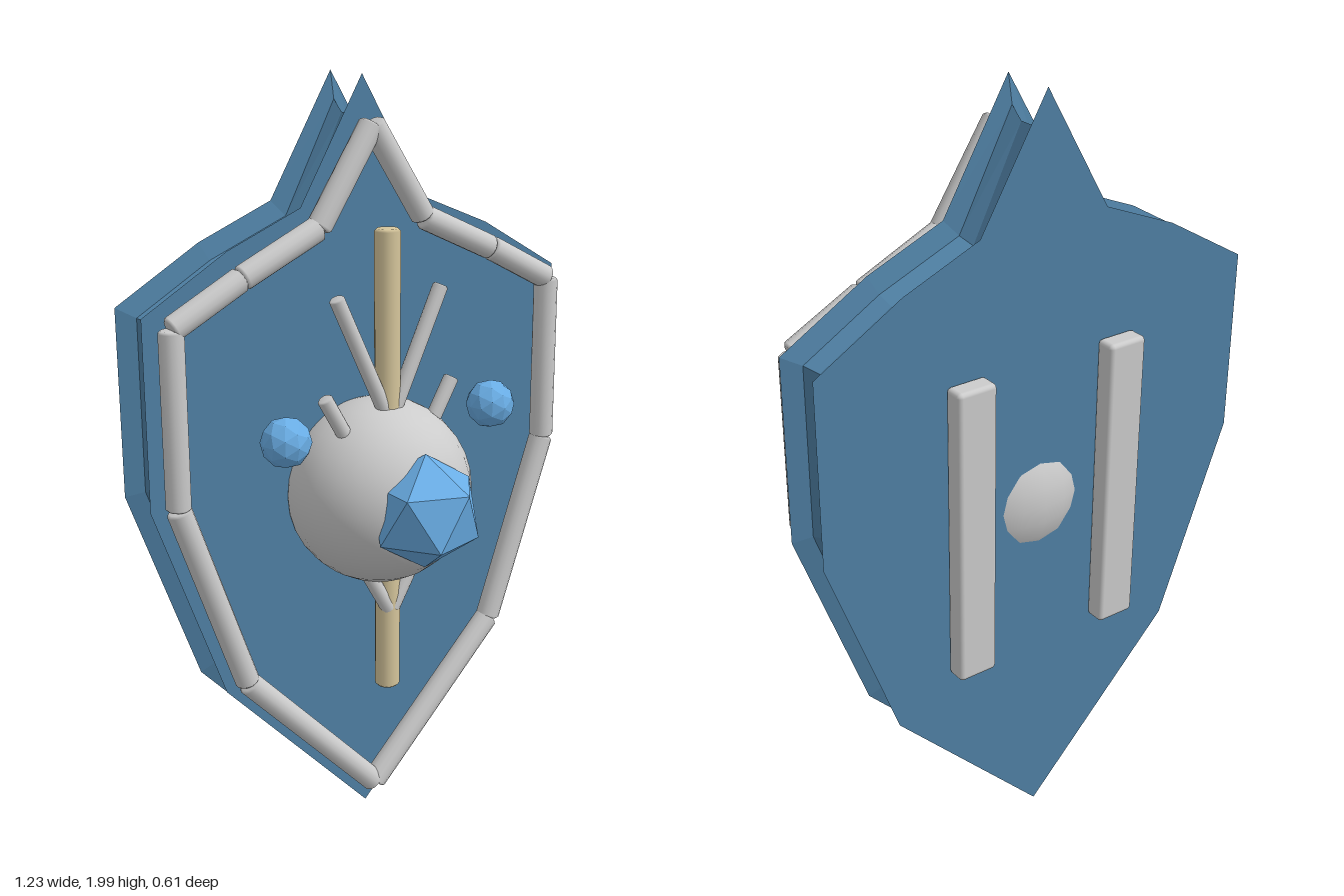
import * as THREE from 'three';
import { RoundedBoxGeometry } from 'three/addons/geometries/RoundedBoxGeometry.js';

const V = (x, y, z) => new THREE.Vector3(x, y, z);
const grey = new THREE.MeshStandardMaterial({ color: 0xcccccc });
const blue = new THREE.MeshStandardMaterial({ color: 0x4f80a4, side: THREE.DoubleSide });
const gemBlue = new THREE.MeshStandardMaterial({ color: 0x6aaee6, flatShading: true });
const tan = new THREE.MeshStandardMaterial({ color: 0xd6c69c });

// Right half of the shield outline, from the top point to the bottom point
const HALF = [[0, 2], [0.18, 1.69], [0.385, 1.605], [0.615, 1.47], [0.615, 0.99], [0.425, 0.46], [0, 0.01]];
const RIM = [[0, 1.885], [0.155, 1.645], [0.37, 1.545], [0.56, 1.445], [0.56, 1.0], [0.385, 0.495], [0, 0.09]];

export function createModel() {
  const group = new THREE.Group();

  const add = (name, geometry, material, x = 0, y = 0, z = 0) => {
    const mesh = new THREE.Mesh(geometry, material);
    mesh.name = name;
    mesh.position.set(x, y, z);
    group.add(mesh);
    return mesh;
  };

  // Round bar with slightly chamfered ends between two points
  const bar = (name, a, b, r, material) => {
    const h = a.distanceTo(b), c = r * 0.2;
    const profile = [[0, 0], [r - c, 0], [r, c], [r, h - c], [r - c, h], [0, h]];
    const geo = new THREE.LatheGeometry(profile.map(([x, y]) => new THREE.Vector2(x, y)), 14);
    const mesh = add(name, geo, material, a.x, a.y, a.z);
    mesh.quaternion.setFromUnitVectors(V(0, 1, 0), b.clone().sub(a).normalize());
  };

  // Shield body: two full plates with a hollowed edge between them
  const left = HALF.slice(1, -1).reverse().map(([x, y]) => [-x, y]);
  const outline = new THREE.Shape([...HALF, ...left].map(([x, y]) => new THREE.Vector2(x, y)));
  add('shieldBody', new THREE.ExtrudeGeometry(outline, {
    depth: 0.045, bevelEnabled: true, bevelThickness: 0.05, bevelSize: -0.07, bevelSegments: 2,
  }), blue, 0, 0, -0.2);

  // Central boss, main gem and vertical shaft
  add('boss', new THREE.SphereGeometry(0.243, 24, 16), grey, 0, 0.958, -0.035);
  add('mainGem', new THREE.IcosahedronGeometry(0.15), gemBlue, 0, 0.957, 0.175).rotation.z = -0.555;
  bar('shaft', V(0, 0.415, 0.006), V(0, 1.64, 0.006), 0.033, tan);

  for (const s of [1, -1]) {
    // Rim bars
    for (let i = 0; i < RIM.length - 1; i++) {
      const [a, b] = [RIM[i], RIM[i + 1]];
      bar('rimBar', V(s * a[0], a[1], -0.062), V(s * b[0], b[1], -0.062), 0.032, grey);
    }
    // Rays fanning out of the boss
    bar('longRay', V(0, 1.15, 0.016), V(s * 0.155, 1.485, 0.016), 0.02, grey);
    bar('shortRay', V(s * 0.09, 1.06, 0.016), V(s * 0.192, 1.24, 0.016), 0.02, grey);
    bar('lowerRay', V(s * 0.005, 0.64, 0.02), V(s * 0.09, 0.79, 0.02), 0.02, grey);
    // Side gems
    add('sideGem', new THREE.IcosahedronGeometry(0.064, 1), gemBlue, s * 0.31, 1.152, 0.028);
    // Grips on the back
    add('backGrip', new RoundedBoxGeometry(0.108, 0.8, 0.056, 2, 0.012), grey, s * 0.221, 0.957, -0.275);
  }
  return group;
}
